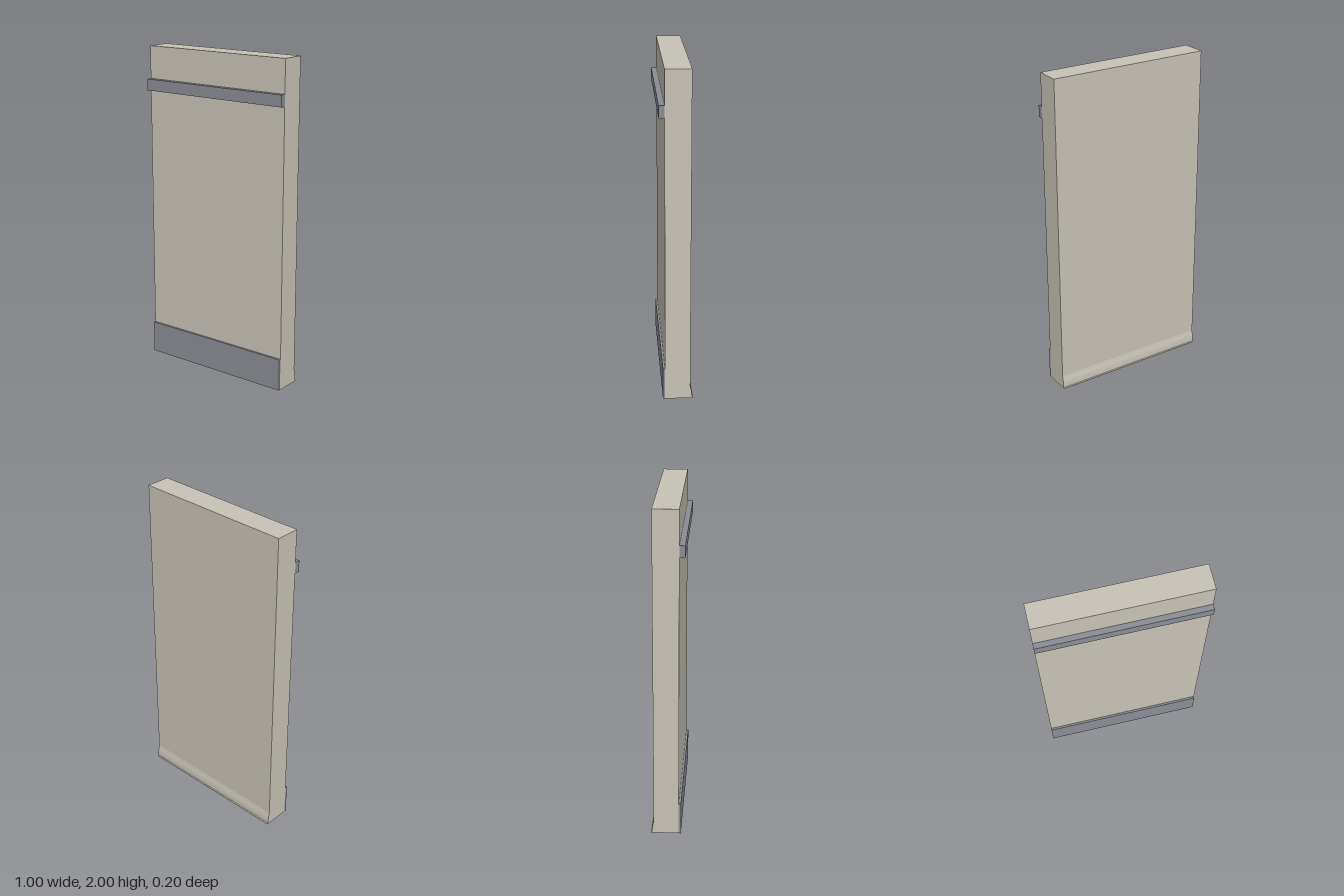
import * as THREE from 'three';

export function createModel() {
  const group = new THREE.Group();
  const plaster = new THREE.MeshStandardMaterial({ color: 0xc8c3b7 });
  plaster.name = 'warm plaster';
  const trim = new THREE.MeshStandardMaterial({ color: 0x8a8d95 });
  trim.name = 'grey trim';

  // Full-width slab between two heights and two depths
  function slab(name, y0, y1, z0, z1, material) {
    const mesh = new THREE.Mesh(new THREE.BoxGeometry(1, y1 - y0, z1 - z0), material);
    mesh.position.set(0, (y0 + y1) / 2, (z0 + z1) / 2);
    mesh.name = name;
    group.add(mesh);
  }

  slab('wallPanel', 0, 2, -0.083, 0.067, plaster);
  slab('frontBaseboard', 0, 0.2, 0.067, 0.08, trim);
  slab('frontRail', 1.73, 1.8, 0.067, 0.1, trim);

  // Moulded skirting along the back: [depth behind centre, height], flared at the foot
  const profile = [
    [0.083, 0], [0.1, 0], [0.099, 0.003], [0.093, 0.007],
    [0.092, 0.035], [0.09, 0.05], [0.086, 0.068], [0.083, 0.085],
  ];
  const shape = new THREE.Shape(profile.map(([d, y]) => new THREE.Vector2(d, y)));
  const geometry = new THREE.ExtrudeGeometry(shape, { depth: 1, bevelEnabled: false });
  geometry.rotateY(Math.PI / 2).translate(-0.5, 0, 0);
  const skirting = new THREE.Mesh(geometry, plaster);
  skirting.name = 'backSkirting';
  group.add(skirting);

  return group;
}
